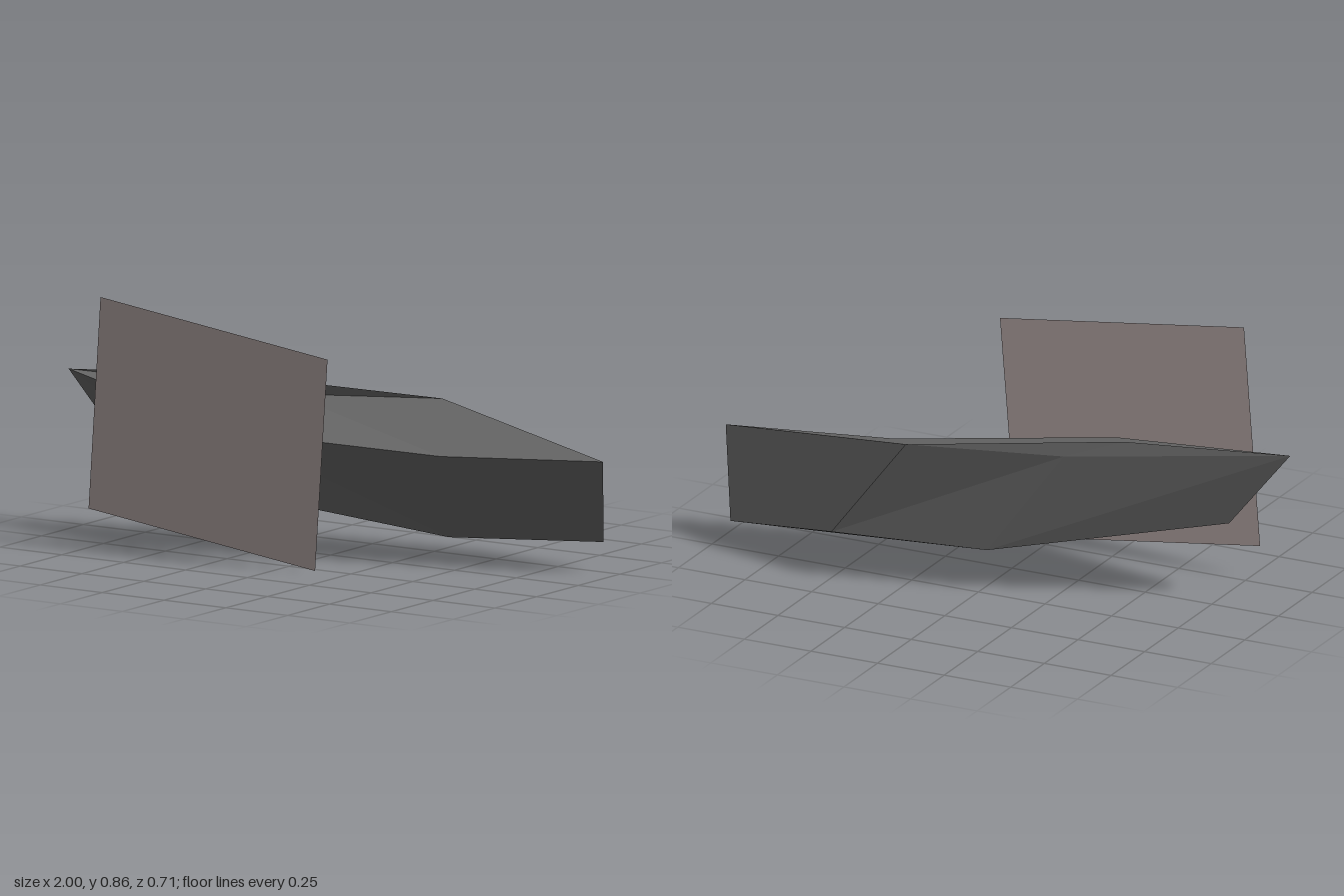
import * as THREE from 'three';

const darkGrey = new THREE.MeshStandardMaterial({ color: 0x666666, side: THREE.DoubleSide, flatShading: true });
const paleRose = new THREE.MeshStandardMaterial({ color: 0xb9aaa9, side: THREE.DoubleSide, flatShading: true });

// Faceted mesh from named corners; each face is a string of corner letters, fanned into triangles.
function facets(name, corners, faces, material) {
  const pos = [];
  for (const face of faces) {
    const p = [...face].map((k) => corners[k]);
    for (let i = 1; i < p.length - 1; i++) pos.push(...p[0], ...p[i], ...p[i + 1]);
  }
  const geo = new THREE.BufferGeometry();
  geo.setAttribute('position', new THREE.Float32BufferAttribute(pos, 3));
  geo.computeVertexNormals();
  const mesh = new THREE.Mesh(geo, material);
  mesh.name = name;
  return mesh;
}

export function createModel() {
  const model = new THREE.Group();
  model.name = 'slabAndPanel';

  const c = {
    // upper rim
    A: [-0.27, 0.433, 0.243], F: [0.45, 0.384, 0.01], E: [0.997, 0.397, -0.154],
    D: [0.24, 0.51, -0.314], K: [-0.27, 0.498, -0.15], B: [-1, 0.545, 0.088],
    // raised back lip
    C: [-0.46, 0.558, -0.075],
    // lower rim
    G: [-0.22, 0.202, 0.152], H: [0.41, 0.088, -0.1], I: [0.925, 0.1, -0.262],
    J: [0.5, 0.165, -0.353], M: [-0.02, 0.145, -0.225], L: [-0.79, 0.28, 0.05],
    // panel corners
    p: [-0.79, 0.12, 0.28], q: [0.12, 0, 0.272], r: [0.22, 0.742, 0.346], s: [-0.692, 0.862, 0.354],
  };

  model.add(
    facets('slabTop', c, ['AFKB', 'FEDK'], darkGrey),
    facets('slabFront', c, ['AGHF', 'FHIE'], darkGrey),
    facets('slabBack', c, ['KDJM', 'BKML'], darkGrey),
    facets('slabEnds', c, ['EIJD', 'GABL'], darkGrey),
    facets('slabUnderside', c, ['IHMJ', 'HGLM'], darkGrey),
    facets('backLip', c, ['BKC', 'CKD'], darkGrey),
    facets('leaningPanel', c, ['pqrs'], paleRose),
  );
  return model;
}
